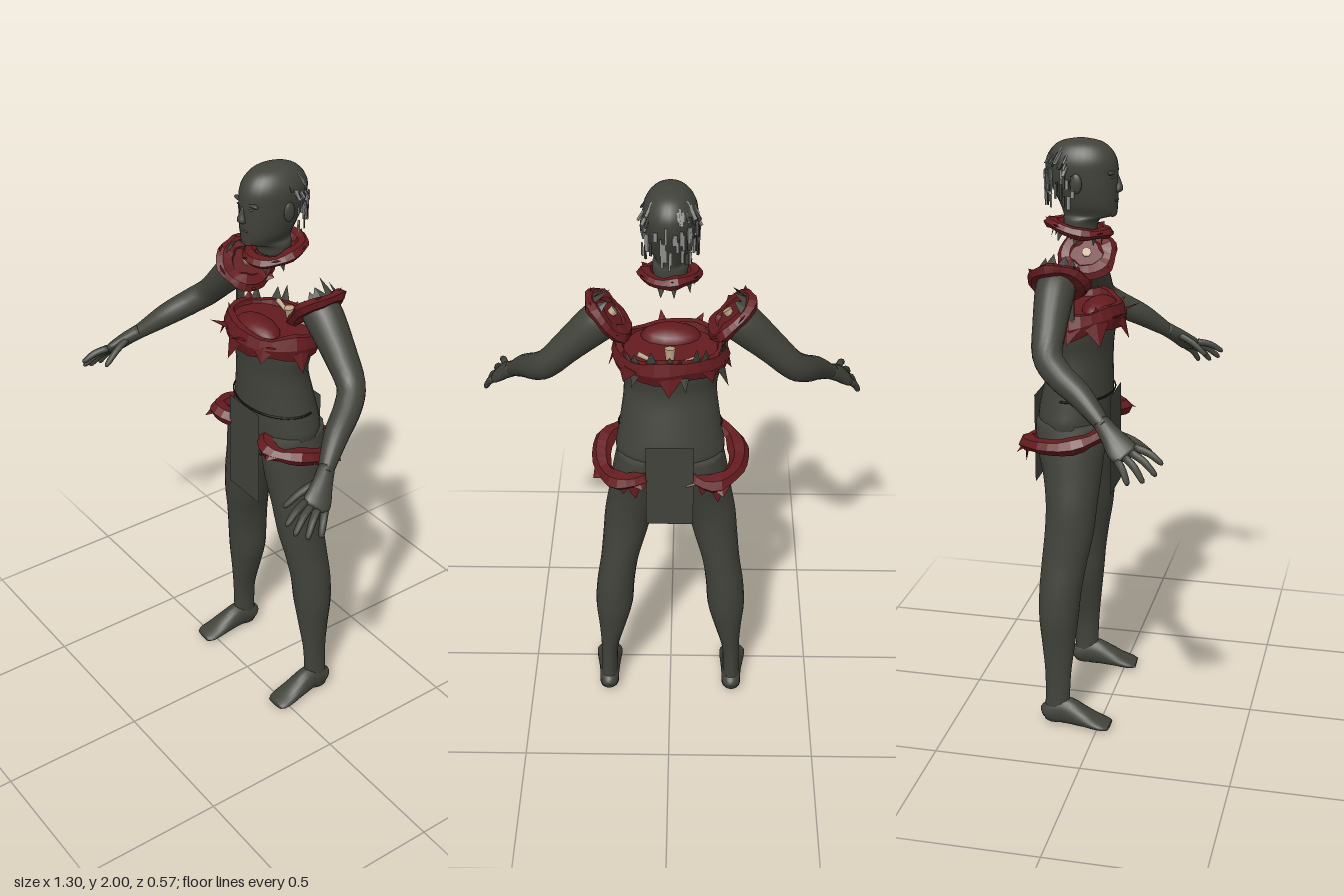
import * as THREE from 'three';

const mat = (name, color, opt = {}) => Object.assign(new THREE.MeshStandardMaterial({ color, ...opt }), { name });
const V = (x, y, z) => new THREE.Vector3(x, y, z);

export function createModel() {
  const skin = mat('darkSkin', 0x41423a);
  const cloth = mat('darkCloth', 0x41423a, { side: THREE.DoubleSide });
  const red = mat('tornRed', 0x641b1f);
  const black = mat('blackStrap', 0x171715);
  const grey = mat('greyHair', 0x8c8e8b);
  const bone = mat('bone', 0xc0a284);
  const iris = mat('eyeOlive', 0x66644e);
  const model = new THREE.Group();

  let seed = 7;
  const rnd = () => (seed = (seed * 16807) % 2147483647) / 2147483647;

  const add = (name, geo, material, parent = model) => {
    const m = new THREE.Mesh(geo, material);
    m.name = name;
    parent.add(m);
    return m;
  };

  // Smooth skin through elliptical sections [x, y, z, radiusA, radiusB]; radiusA follows ref
  function loft(secs, flat = false, sides = 20, per = 4, ref = V(1, 0, 0)) {
    const curve = pts => new THREE.CatmullRomCurve3(pts, false, 'catmullrom');
    const path = curve(secs.map(s => V(s[0], s[1], s[2])));
    const rad = curve(secs.map(s => V(s[3], s[4], 0)));
    const n = (secs.length - 1) * per, pos = [], idx = [];
    for (let i = 0; i <= n; i++) {
      const c = path.getPoint(i / n), r = rad.getPoint(i / n);
      const t = flat ? V(0, Math.sign(secs[secs.length - 1][1] - secs[0][1]), 0) : path.getTangent(i / n);
      const u = ref.clone().addScaledVector(t, -t.dot(ref)).normalize();
      const v = t.clone().cross(u);
      for (let j = 0; j < sides; j++) {
        const a = j / sides * Math.PI * 2;
        const p = c.clone().addScaledVector(u, Math.cos(a) * r.x).addScaledVector(v, Math.sin(a) * r.y);
        pos.push(p.x, p.y, p.z);
        if (i < n) {
          const k = i * sides + j, l = i * sides + (j + 1) % sides;
          idx.push(k, l, l + sides, k, l + sides, k + sides);
        }
      }
    }
    const first = pos.length / 3, last = n * sides;
    pos.push(...secs[0].slice(0, 3), ...secs[secs.length - 1].slice(0, 3));
    for (let j = 0; j < sides; j++) {
      const k = (j + 1) % sides;
      idx.push(first, k, j, first + 1, last + j, last + k);
    }
    const g = new THREE.BufferGeometry();
    g.setAttribute('position', new THREE.Float32BufferAttribute(pos, 3));
    g.setIndex(idx);
    g.computeVertexNormals();
    return g;
  }

  // Uneven faceted band lying across its local y axis
  function band(name, centre, axis, ra, rb, thick, height, phase) {
    const g = new THREE.Group();
    g.name = name;
    g.position.copy(centre);
    g.quaternion.setFromUnitVectors(V(0, 1, 0), axis.normalize());
    const geo = new THREE.TorusGeometry(1, 0.5, 6, 24), p = geo.attributes.position;
    for (let i = 0; i < p.count; i++) {
      const a = Math.atan2(p.getY(i), p.getX(i)), d = (Math.hypot(p.getX(i), p.getY(i)) - 1) * 2;
      const w = 1 + 0.13 * Math.sin(4 * a + phase) + 0.08 * Math.sin(7 * a + phase * 2);
      const y = p.getZ(i) * 2 * height * w + 0.2 * height * Math.sin(3 * a + phase);
      p.setXYZ(i, Math.cos(a) * (ra + d * thick * w), y, -Math.sin(a) * (rb + d * thick * w));
    }
    const flat = geo.toNonIndexed();
    flat.computeVertexNormals();
    add(name + 'Ring', flat, red, g);
    model.add(g);
    return g;
  }

  // Flat ragged points around a band; rise is along the axis, out is outwards
  function shreds(g, n, ra, rb, rise, out, width, material, from = 0, to = Math.PI * 2) {
    for (let i = 0; i < n; i++) {
      const a = from + (to - from) * (i + rnd() * 0.6) / n;
      const dir = V(Math.cos(a) * out, rise, Math.sin(a) * out);
      const len = dir.length() * (0.6 + rnd() * 0.6);
      const geo = new THREE.ConeGeometry(width * (0.6 + rnd() * 0.6), len, 4).toNonIndexed();
      geo.scale(1, 1, 0.2).translate(0, len / 2, 0).computeVertexNormals();
      const m = add('shred', geo, material, g);
      m.position.set(Math.cos(a) * ra, 0, Math.sin(a) * rb);
      m.quaternion.setFromUnitVectors(V(0, 1, 0), dir.normalize())
        .multiply(new THREE.Quaternion().setFromAxisAngle(V(0, 1, 0), Math.PI / 2 - a));
    }
  }

  const disc = (g, name, ra, rb, y) => {
    const m = add(name, new THREE.CylinderGeometry(1, 1, 0.008, 24).scale(ra, 1, rb), red, g);
    m.position.y = y;
  };
  const blob = (name, x, y, z, a, b, c, material, parent = model) =>
    add(name, new THREE.SphereGeometry(1, 14, 10).scale(a, b, c), material, parent).position.set(x, y, z);
  const stick = (g, x, y, z, len, r, rx, rz) => {
    const m = add('boneShard', new THREE.CylinderGeometry(r, r * 0.7, len, 7), bone, g);
    m.position.set(x, y, z);
    m.rotation.set(rx, 0, rz);
  };

  // Head and neck
  add('head', loft([
    [0, 1.705, -0.105, 0.053, 0.055], [0, 1.74, -0.1, 0.056, 0.06], [0, 1.757, -0.075, 0.05, 0.086],
    [0, 1.79, -0.077, 0.066, 0.095], [0, 1.84, -0.088, 0.077, 0.108], [0, 1.885, -0.097, 0.082, 0.117],
    [0, 1.93, -0.1, 0.083, 0.116], [0, 1.965, -0.1, 0.069, 0.097], [0, 1.988, -0.1, 0.045, 0.065],
    [0, 2.0, -0.1, 0.005, 0.008]], true, 28), skin);
  add('nose', loft([[0, 1.885, 0.012, 0.008, 0.009], [0, 1.86, 0.019, 0.01, 0.012],
    [0, 1.838, 0.022, 0.017, 0.013], [0, 1.828, 0.016, 0.008, 0.006]], true, 10), skin);
  blob('upperLip', 0, 1.805, 0.013, 0.023, 0.005, 0.008, skin);
  blob('lowerLip', 0, 1.796, 0.011, 0.02, 0.006, 0.008, skin);
  blob('chin', 0, 1.765, 0.002, 0.026, 0.016, 0.014, skin);
  for (const s of [1, -1]) {
    blob('brow', s * 0.033, 1.896, 0.004, 0.028, 0.007, 0.01, skin);
    blob('eye', s * 0.032, 1.881, 0.009, 0.009, 0.003, 0.005, iris);
    blob('ear', s * 0.083, 1.865, -0.1, 0.009, 0.032, 0.02, skin);
  }

  // Patchy hair around the sides and back of the head
  const hair = new THREE.Group();
  hair.name = 'hair';
  model.add(hair);
  for (let i = 0; i < 64; i++) {
    const a = Math.PI * (-0.02 - 0.96 * rnd()), y = 1.8 + rnd() * 0.155;
    const k = y > 1.9 ? Math.sqrt(1 - ((y - 1.9) / 0.1) ** 2) : 1;
    const shape = new THREE.BoxGeometry(0.006 + rnd() * 0.009, 0.022 + rnd() * 0.035, 0.004);
    const m = add('hairStrand', shape, i % 4 ? grey : skin, hair);
    m.position.set(Math.cos(a) * 0.088 * k, y, -0.1 + Math.sin(a) * 0.121 * k);
    m.lookAt(m.position.x * 2, y + (y > 1.9 ? 0.06 : 0), -0.1 + (m.position.z + 0.1) * 2);
  }

  // Neck tear
  const collar = band('collar', V(0, 1.71, -0.11), V(0, 1, 0.17), 0.076, 0.09, 0.024, 0.018, 1);
  disc(collar, 'neckStump', 0.075, 0.088, -0.008);
  shreds(collar, 9, 0.07, 0.08, -0.045, 0.005, 0.018, skin);
  shreds(collar, 6, 0.08, 0.092, 0.014, 0.026, 0.026, red);
  stick(collar, 0, -0.02, 0.01, 0.03, 0.014, 0, 0);

  // Waist and hips
  add('torso', loft([
    [0, 0.95, -0.112, 0.07, 0.07], [0, 1.0, -0.12, 0.15, 0.112], [0, 1.07, -0.125, 0.178, 0.122],
    [0, 1.13, -0.12, 0.172, 0.121], [0, 1.2, -0.112, 0.161, 0.112], [0, 1.3, -0.1, 0.15, 0.1],
    [0, 1.37, -0.1, 0.164, 0.106], [0, 1.42, -0.1, 0.172, 0.11]], true, 30), skin);

  // Chest tear
  const chest = band('chestBand', V(0, 1.422, -0.1), V(0, 1, -0.06), 0.166, 0.122, 0.021, 0.042, 2.2);
  disc(chest, 'chestStump', 0.168, 0.12, 0.016);
  blob('chestFlesh', 0, 0.012, 0.06, 0.1, 0.045, 0.06, red, chest);
  shreds(chest, 8, 0.176, 0.13, -0.07, 0.025, 0.042, red);
  shreds(chest, 6, 0.165, 0.118, 0.055, 0.01, 0.04, red);
  shreds(chest, 3, 0.15, 0.12, 0.03, 0.08, 0.035, red, 0.7, 2.6);
  shreds(chest, 9, 0.168, 0.12, 0.08, 0.012, 0.03, skin, Math.PI * 1.02, Math.PI * 1.98);
  shreds(chest, 4, 0.168, 0.128, -0.075, 0.03, 0.028, skin, Math.PI * 1.1, Math.PI * 1.9);
  stick(chest, 0, 0.035, -0.07, 0.045, 0.018, 0.2, 0);
  stick(chest, -0.06, 0.028, -0.09, 0.07, 0.009, 0, 1.2);
  stick(chest, 0.07, 0.028, -0.08, 0.07, 0.009, 0.3, -1.1);
  add('looseStrip', new THREE.BoxGeometry(0.008, 0.1, 0.03), skin).position.set(-0.178, 1.49, -0.1);

  // Belt cord around the front, and hanging cloths
  const cord = add('beltCord', new THREE.TorusGeometry(1, 0.02, 6, 40, Math.PI + 0.46).rotateZ(-0.23)
    .rotateX(Math.PI / 2).scale(0.168, 0.2, 0.12), black);
  cord.position.set(0, 1.163, -0.114);
  add('frontCloth', new THREE.PlaneGeometry(0.168, 0.35), cloth).position.set(0, 0.99, 0.012);
  add('backCloth', new THREE.PlaneGeometry(0.155, 0.31), cloth).position.set(0, 0.995, -0.25);

  for (const s of [1, -1]) {
    const side = s > 0 ? 'left' : 'right';
    const mirror = secs => secs.map(([x, ...r]) => [s * x, ...r]);

    // Leg and foot
    add(side + 'Leg', loft(mirror([
      [0.09, 1.08, -0.123, 0.083, 0.115], [0.097, 1.0, -0.12, 0.092, 0.117], [0.112, 0.9, -0.112, 0.092, 0.1],
      [0.138, 0.8, -0.109, 0.083, 0.088], [0.156, 0.7, -0.114, 0.074, 0.084], [0.175, 0.6, -0.127, 0.065, 0.078],
      [0.19, 0.5, -0.138, 0.065, 0.073], [0.197, 0.4, -0.143, 0.064, 0.068], [0.206, 0.3, -0.143, 0.047, 0.057],
      [0.217, 0.2, -0.143, 0.031, 0.046], [0.221, 0.1, -0.145, 0.029, 0.043], [0.223, 0.02, -0.148, 0.034, 0.043]]),
      true), skin);
    add(side + 'Foot', loft(mirror([
      [0.222, 0.034, -0.197, 0.014, 0.016], [0.222, 0.042, -0.18, 0.031, 0.034], [0.223, 0.054, -0.12, 0.036, 0.05],
      [0.226, 0.04, -0.06, 0.042, 0.036], [0.228, 0.027, -0.015, 0.046, 0.023], [0.23, 0.019, 0.022, 0.045, 0.015],
      [0.231, 0.016, 0.042, 0.034, 0.01]])), skin);

    // Thigh tear
    const thigh = band(side + 'ThighBand', V(s * 0.14, 1.037, -0.122), V(s * 0.06, 1, -0.19),
      0.088, 0.13, 0.032, 0.026, s + 2);
    shreds(thigh, 5, 0.1, 0.145, -0.02, 0.03, 0.035, red);
    shreds(thigh, 2, 0.09, 0.135, -0.065, 0.02, 0.03, red, Math.PI * 1.35, Math.PI * 1.7);

    // Arm and hand
    add(side + 'Arm', loft(mirror([
      [0.195, 1.572, -0.135, 0.06, 0.062], [0.23, 1.545, -0.135, 0.064, 0.063], [0.31, 1.468, -0.13, 0.053, 0.055],
      [0.385, 1.39, -0.12, 0.045, 0.048], [0.43, 1.345, -0.075, 0.044, 0.045], [0.475, 1.295, 0.005, 0.04, 0.039],
      [0.525, 1.235, 0.08, 0.027, 0.026], [0.535, 1.225, 0.095, 0.026, 0.024]])), skin);
    add(side + 'Hand', loft(mirror([
      [0.525, 1.235, 0.08, 0.026, 0.026], [0.555, 1.203, 0.12, 0.034, 0.024], [0.58, 1.172, 0.155, 0.045, 0.02],
      [0.594, 1.158, 0.178, 0.04, 0.013]]), false, 16, 4, V(s * 0.05, -0.045, -0.06)), skin);
    const fingers = [[0.57, 1.178, 0.195, 0.594, 1.142, 0.285], [0.583, 1.167, 0.185, 0.616, 1.112, 0.27],
      [0.597, 1.155, 0.17, 0.634, 1.093, 0.235], [0.608, 1.145, 0.15, 0.645, 1.086, 0.19],
      [0.543, 1.21, 0.125, 0.516, 1.145, 0.238]];
    fingers.forEach(([x, y, z, X, Y, Z], i) => add(side + (i < 4 ? 'Finger' : 'Thumb'), loft(mirror([
      [x, y, z, 0.013, 0.013], [(x + X) / 2, (y + Y) / 2 + 0.008, (z + Z) / 2, 0.012, 0.012],
      [X * 0.9 + x * 0.1, Y * 0.9 + y * 0.1, Z * 0.9 + z * 0.1, 0.009, 0.009], [X, Y, Z, 0.003, 0.003]]),
      false, 8, 3), skin));

    // Shoulder tear, with its raw face towards the body
    const arm = band(side + 'ArmBand', V(s * 0.192, 1.572, -0.13), V(-s, 1, 0), 0.069, 0.073, 0.032, 0.02, s + 4);
    disc(arm, 'armStump', 0.068, 0.072, 0.008);
    shreds(arm, 6, 0.08, 0.086, 0.016, 0.022, 0.028, red);
    const up = s > 0 ? 0 : Math.PI;
    shreds(arm, 4, 0.076, 0.082, 0.07, -0.01, 0.034, skin, up - 0.9, up + 0.9);
    stick(arm, 0, 0.012, 0, 0.03, 0.017, 0.2, 0.2);
  }
  return model;
}
